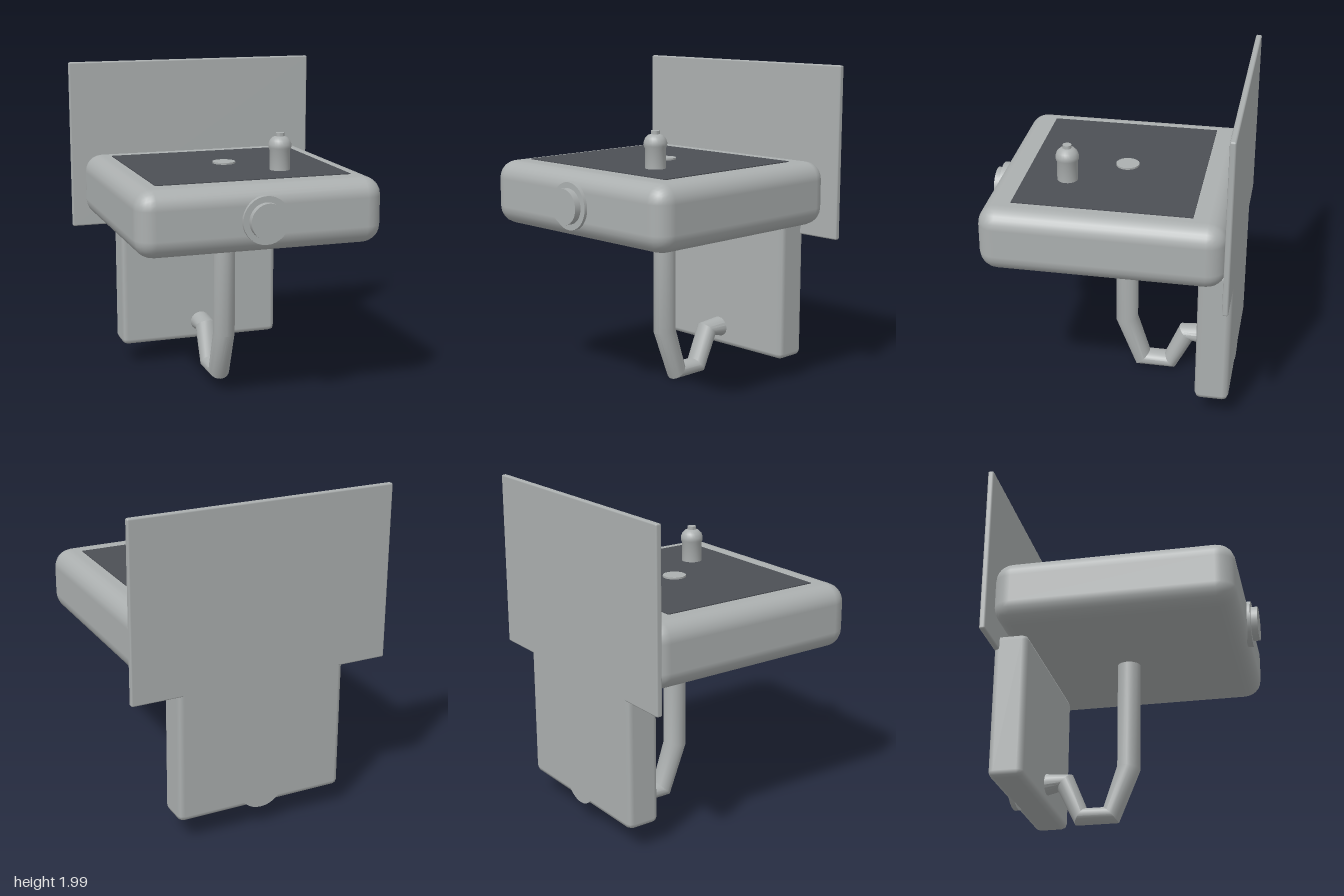
import * as THREE from 'three';
import { RoundedBoxGeometry } from 'three/addons/geometries/RoundedBoxGeometry.js';
import { toCreasedNormals } from 'three/addons/utils/BufferGeometryUtils.js';

export function createModel() {
  const group = new THREE.Group();
  const steel = new THREE.MeshStandardMaterial({ name: 'brushed steel', color: 0xabafaf });
  const dark = new THREE.MeshStandardMaterial({ name: 'dark grey', color: 0x4c4f55 });

  const add = (name, geometry, material, x, y, z) => {
    const mesh = new THREE.Mesh(geometry, material);
    mesh.name = name;
    mesh.position.set(x, y, z);
    group.add(mesh);
    return mesh;
  };

  // Basin body with its dark inset and drain
  add('basin', new RoundedBoxGeometry(1.48, 0.39, 1.42, 3, 0.11), steel, 0, 1.225, -0.01);
  add('basinInset', new THREE.BoxGeometry(1.18, 0.008, 1.04), dark, 0, 1.421, 0);
  add('drain', new THREE.CylinderGeometry(0.07, 0.07, 0.02, 24), steel, 0, 1.426, -0.05);

  // Wall splash panel and lower housing
  add('backPanel', new RoundedBoxGeometry(1.62, 1.06, 0.036, 1, 0.01), steel, 0, 1.47, -0.737);
  add('lowerHousing', new RoundedBoxGeometry(1.06, 0.88, 0.205, 1, 0.035), steel, 0, 0.59, -0.6525);

  // Round push button on the front
  const buttonRing = new THREE.CylinderGeometry(0.14, 0.14, 0.04, 32).rotateX(Math.PI / 2);
  const button = new THREE.CylinderGeometry(0.105, 0.105, 0.08, 32).rotateX(Math.PI / 2);
  add('buttonRing', buttonRing, steel, 0, 1.225, 0.7);
  add('button', button, steel, 0, 1.225, 0.72);

  // Bubbler: stem, domed collar and nozzle
  const profile = [
    [0.001, 0], [0.061, 0], [0.061, 0.125], [0.068, 0.14], [0.069, 0.16],
    [0.06, 0.185], [0.043, 0.202], [0.026, 0.208], [0.026, 0.228], [0.001, 0.228],
  ].map(([r, y]) => new THREE.Vector2(r, y));
  const bubbler = toCreasedNormals(new THREE.LatheGeometry(profile, 24), 0.7);
  add('bubbler', bubbler, steel, 0.245, 1.417, 0.265);

  // Drain trap: elliptical rings given by their outer and inner [z, y] edges
  const rings = [
    [[0.02, 1.01], [-0.12, 1.01]],
    [[0.02, 0.33], [-0.12, 0.355]],
    [[-0.11, 0.01], [-0.2, 0.105]],
    [[-0.37, 0.01], [-0.3, 0.105]],
    [[-0.48, 0.23], [-0.39, 0.32]],
    [[-0.6, 0.195], [-0.6, 0.34]],
  ];
  const sides = 20;
  const position = [];
  const index = [];
  rings.forEach(([o, n], i) => {
    for (let j = 0; j < sides; j++) {
      const a = (j / sides) * Math.PI * 2;
      const t = (1 + Math.cos(a)) / 2;
      position.push(Math.sin(a) * 0.068, n[1] + (o[1] - n[1]) * t, n[0] + (o[0] - n[0]) * t);
      if (i < rings.length - 1) {
        const p = i * sides + j;
        const q = i * sides + ((j + 1) % sides);
        index.push(p, p + sides, q, q, p + sides, q + sides);
      }
    }
  });
  // Cap at the top of the trap
  for (let j = 1; j < sides - 1; j++) index.push(0, j, j + 1);
  const trap = new THREE.BufferGeometry();
  trap.setAttribute('position', new THREE.Float32BufferAttribute(position, 3));
  trap.setIndex(index);
  add('drainTrap', toCreasedNormals(trap, 0.5), steel, 0, 0, 0);

  // Wall flange behind the trap, just showing below the housing
  const flange = new THREE.CylinderGeometry(0.15, 0.15, 0.03, 32).rotateX(Math.PI / 2);
  add('wallFlange', flange, steel, 0, 0.28, -0.739);

  return group;
}
